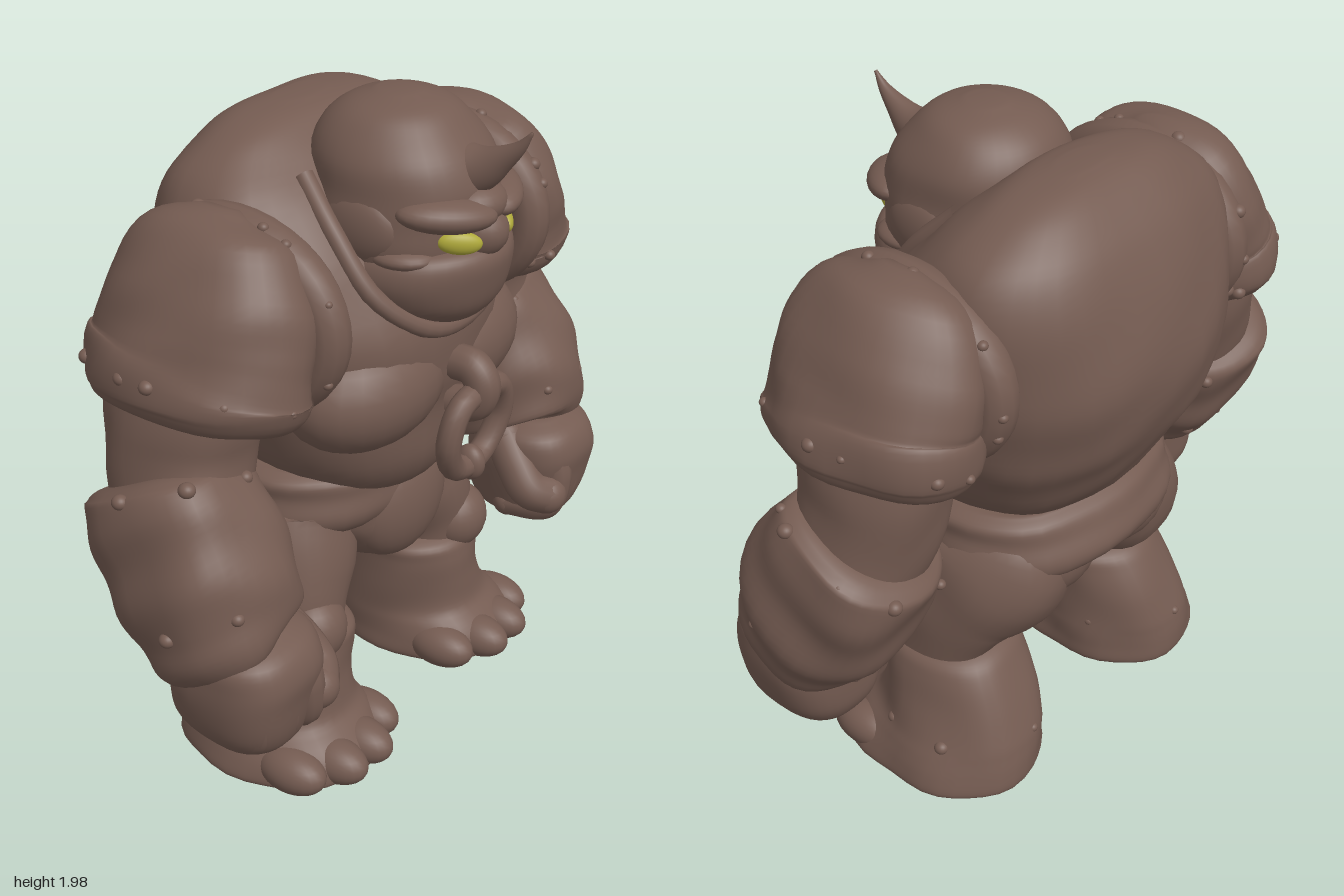
import * as THREE from 'three';

const stone = new THREE.MeshStandardMaterial({ color: 0x745b51 });
stone.name = 'brown stone';
const glow = new THREE.MeshStandardMaterial({ color: 0xaea83a });
glow.name = 'yellow eye';

// Seeded random numbers for the rocky nodules
let seed = 7;
const rand = () => (seed = (seed * 16807) % 2147483647) / 2147483647;

function add(group, name, geometry, material = stone) {
  const mesh = new THREE.Mesh(geometry, material);
  mesh.name = name;
  group.add(mesh);
  return mesh;
}

function ball(group, name, [x, y, z], [rx, ry, rz], material) {
  const mesh = add(group, name, new THREE.SphereGeometry(1, 24, 16), material);
  mesh.position.set(x, y, z);
  mesh.scale.set(rx, ry, rz);
  return mesh;
}

// Smooth closed skin through sections [x, y, z, halfWidth, halfDepth]
function loft(sections, { flat = false, power = 2.3, lump = 0.006 } = {}) {
  const N = 36, steps = (sections.length - 1) * 5;
  const spine = new THREE.CatmullRomCurve3(sections.map(s => new THREE.Vector3(s[0], s[1], s[2])), false, 'catmullrom');
  const size = new THREE.CatmullRomCurve3(sections.map(s => new THREE.Vector3(s[3], s[4], 0)), false, 'catmullrom');
  const pos = [], index = [];
  const bend = (v, e) => Math.sign(v) * Math.abs(v) ** (2 / e);
  for (let i = 0; i <= steps; i++) {
    const c = spine.getPoint(i / steps), r = size.getPoint(i / steps);
    const t = flat ? new THREE.Vector3(0, 1, 0) : spine.getTangent(i / steps);
    const u = new THREE.Vector3(1, 0, 0).addScaledVector(t, -t.x).normalize();
    const w = u.clone().cross(t);
    for (let j = 0; j < N; j++) {
      const a = j / N * Math.PI * 2;
      const p = c.clone()
        .addScaledVector(u, bend(Math.cos(a), power) * Math.max(r.x, 0.005))
        .addScaledVector(w, bend(Math.sin(a), power) * Math.max(r.y, 0.005));
      const k = lump * Math.sin(p.x * 17 + p.y * 9) * Math.sin(p.y * 14 - p.z * 19 + 1);
      pos.push(p.x + u.x * Math.cos(a) * k, p.y, p.z + w.z * Math.sin(a) * k);
      if (i < steps) {
        const A = i * N + j, B = i * N + (j + 1) % N;
        index.push(A, A + N, B, B, A + N, B + N);
      }
    }
  }
  const first = spine.getPoint(0), last = spine.getPoint(1), n = pos.length / 3;
  pos.push(first.x, first.y, first.z, last.x, last.y, last.z);
  for (let j = 0; j < N; j++) {
    const k = (j + 1) % N, top = steps * N;
    index.push(n, j, k, n + 1, top + k, top + j);
  }
  const g = new THREE.BufferGeometry();
  g.setAttribute('position', new THREE.Float32BufferAttribute(pos, 3));
  g.setIndex(index);
  g.computeVertexNormals();
  return g;
}

// Level sections [y, back z, front z, halfWidth, centre x]
const stack = (rows, options) => loft(
  rows.map(([y, b, f, w, x = 0]) => [x, y, (b + f) / 2, w, (f - b) / 2]), { flat: true, ...options });

const tube = (points, radius, closed = false) => new THREE.TubeGeometry(
  new THREE.CatmullRomCurve3(points.map(p => new THREE.Vector3(...p)), closed), 36, radius, 12, closed);

// Small lumps half sunk round an ellipse with axes u and v
function nodules(group, name, count, c, u, v) {
  for (let i = 0; i < count; i++) {
    const a = (i + rand() * 0.8) / count * Math.PI * 2, r = 0.012 + rand() * 0.012;
    ball(group, name, c.map((k, m) => k + u[m] * Math.cos(a) + v[m] * Math.sin(a)), [r, r * 0.9, r]);
  }
}

// A finger: tube with rounded ends
function digit(group, name, points, r) {
  add(group, name, tube(points, r));
  for (const p of [points[0], points[points.length - 1]]) ball(group, name + 'Tip', p, [r, r, r]);
}

function buildBody(g) {
  add(g, 'torso', stack([
    [0.78, -0.18, 0.16, 0.12], [0.85, -0.26, 0.24, 0.26], [0.95, -0.36, 0.29, 0.37], [1.1, -0.45, 0.31, 0.45],
    [1.22, -0.505, 0.335, 0.485], [1.4, -0.54, 0.33, 0.515], [1.6, -0.505, 0.21, 0.52], [1.75, -0.445, 0.07, 0.47],
    [1.84, -0.375, -0.03, 0.36], [1.89, -0.31, -0.09, 0.24], [1.91, -0.25, -0.16, 0.08]], { power: 2.4 }));
  add(g, 'pelvis', stack([
    [0.54, -0.06, 0.12, 0.07], [0.58, -0.16, 0.19, 0.15], [0.66, -0.28, 0.22, 0.24], [0.74, -0.36, 0.22, 0.33],
    [0.84, -0.37, 0.22, 0.37], [0.94, -0.28, 0.18, 0.33]]));
  add(g, 'waistRoll', stack([
    [0.7, -0.33, 0.15, 0.33], [0.74, -0.39, 0.2, 0.4], [0.79, -0.41, 0.225, 0.42], [0.85, -0.39, 0.22, 0.405],
    [0.9, -0.37, 0.21, 0.405], [0.93, -0.33, 0.16, 0.36]]));
  ball(g, 'loinFlap', [0, 0.74, 0.13], [0.2, 0.2, 0.12]);
  for (const s of [1, -1]) ball(g, 'chestMuscle', [s * 0.19, 1.2, 0.15], [0.285, 0.19, 0.205]);
  // Raised collar round the face opening
  add(g, 'collar', tube([[-0.25, 1.78, 0.0], [-0.285, 1.66, 0.12], [-0.27, 1.5, 0.24], [-0.15, 1.39, 0.325], [0, 1.36, 0.34],
    [0.15, 1.39, 0.325], [0.27, 1.5, 0.24], [0.285, 1.66, 0.12], [0.25, 1.78, 0.0]], 0.028));
  // Chest ring hanging from a clasp
  add(g, 'chestRing', tube([[0, 1.16, 0.41], [0.1, 1.14, 0.41], [0.135, 1.04, 0.4], [0.08, 0.94, 0.385], [0, 0.92, 0.385],
    [-0.08, 0.94, 0.385], [-0.135, 1.04, 0.4], [-0.1, 1.14, 0.41]], 0.036, true));
  ball(g, 'ringDrop', [0, 0.925, 0.39], [0.035, 0.055, 0.045]);
  add(g, 'ringClasp', tube([[0, 1.23, 0.33], [0, 1.225, 0.39], [0, 1.18, 0.42], [0, 1.12, 0.4], [0, 1.1, 0.33]], 0.052));
}

function buildHead(g) {
  add(g, 'skull', stack([
    [1.42, 0.08, 0.34, 0.12], [1.5, 0, 0.38, 0.21], [1.6, -0.06, 0.4, 0.255], [1.68, -0.09, 0.405, 0.26],
    [1.75, -0.1, 0.415, 0.25], [1.83, -0.1, 0.385, 0.24], [1.9, -0.07, 0.33, 0.2], [1.95, -0.01, 0.27, 0.145],
    [1.98, 0.07, 0.18, 0.05]], { power: 2.1, lump: 0.003 }));
  add(g, 'jaw', stack([
    [1.37, 0.12, 0.34, 0.08], [1.39, 0.05, 0.39, 0.15], [1.44, 0, 0.43, 0.22], [1.51, -0.04, 0.45, 0.26],
    [1.57, -0.04, 0.455, 0.255], [1.605, 0, 0.43, 0.22], [1.615, 0.05, 0.37, 0.15]], { power: 2.1, lump: 0.003 }));
  // Wedge-shaped face: brows and eyes slope back from the bridge
  ball(g, 'noseBridge', [0, 1.64, 0.36], [0.088, 0.085, 0.115]);
  ball(g, 'browBridge', [0, 1.715, 0.375], [0.1, 0.06, 0.085]);
  for (const s of [1, -1]) {
    ball(g, 'brow', [s * 0.12, 1.712, 0.365], [0.14, 0.047, 0.075]).rotation.set(0, s * 0.68, s * 0.1);
    ball(g, 'temple', [s * 0.22, 1.665, 0.16], [0.05, 0.1, 0.12]);
    ball(g, 'cheek', [s * 0.17, 1.595, 0.26], [0.085, 0.035, 0.1]);
    ball(g, 'eye', [s * 0.108, 1.638, 0.4], [0.062, 0.032, 0.024], glow).rotation.set(0, s * 0.82, s * 0.1);
  }
  // Curved horn rising from the forehead
  add(g, 'horn', loft([[0, 1.79, 0.33, 0.08, 0.085], [0, 1.815, 0.4, 0.054, 0.06], [0, 1.85, 0.455, 0.034, 0.036],
    [0, 1.89, 0.505, 0.018, 0.018], [0, 1.935, 0.54, 0.004, 0.004]], { power: 2, lump: 0 }));
}

function buildArm(g, s) {
  const limb = (name, rows, options) => add(g, name, loft(rows.map(([x, ...r]) => [s * x, ...r]), options));
  // Domed plate ending in a flared skirt
  limb('shoulderPlate', [[0.525, 1.77, -0.06, 0.03, 0.06], [0.545, 1.71, -0.06, 0.135, 0.22], [0.585, 1.58, -0.05, 0.19, 0.3],
    [0.62, 1.47, -0.045, 0.205, 0.325], [0.64, 1.41, -0.045, 0.212, 0.325], [0.655, 1.36, -0.05, 0.225, 0.34],
    [0.662, 1.31, -0.05, 0.218, 0.33], [0.67, 1.265, -0.05, 0.19, 0.29], [0.675, 1.245, -0.05, 0.13, 0.2]],
    { power: 2, lump: 0.008 });
  nodules(g, 'skirtNodule', 9, [s * 0.655, 1.335, -0.05], [s * 0.21, 0.07, 0], [0, 0, 0.33]);
  // Raised inner band of the shoulder
  const band = add(g, 'shoulderBand', new THREE.TorusGeometry(1, 0.2, 12, 40));
  band.position.set(s * 0.495, 1.475, -0.04);
  band.rotation.set(0, Math.PI / 2, 0);
  band.scale.set(0.3, 0.245, 0.32);
  nodules(g, 'bandNodule', 11, [s * 0.52, 1.475, -0.04], [0, 0.285, 0], [0, 0, 0.345]);
  limb('upperArm', [[0.62, 1.5, -0.07, 0.16, 0.2], [0.665, 1.28, -0.08, 0.185, 0.21], [0.69, 1.14, -0.08, 0.18, 0.2],
    [0.73, 0.98, -0.05, 0.17, 0.19]]);
  limb('forearmGuard', [[0.735, 1.07, -0.1, 0.13, 0.15], [0.74, 1.05, -0.09, 0.2, 0.215], [0.75, 1, -0.065, 0.21, 0.235],
    [0.758, 0.9, -0.01, 0.212, 0.25], [0.763, 0.8, 0.04, 0.222, 0.25], [0.76, 0.72, 0.08, 0.213, 0.23],
    [0.755, 0.65, 0.115, 0.2, 0.2], [0.745, 0.62, 0.13, 0.12, 0.14]], { power: 2.5, lump: 0.012 });
  nodules(g, 'cuffNodule', 8, [s * 0.74, 1.03, -0.08], [s * 0.2, 0.06, 0], [0, 0.1, 0.21]);
  nodules(g, 'wristNodule', 7, [s * 0.76, 0.74, 0.07], [s * 0.212, 0, 0], [0, 0.1, 0.21]);
  // Clenched fist
  add(g, 'fist', stack([
    [0.345, 0.03, 0.25, 0.09, 0.74], [0.37, 0, 0.3, 0.13, 0.74], [0.43, -0.03, 0.33, 0.16, 0.75], [0.52, -0.035, 0.35, 0.18, 0.75],
    [0.6, -0.03, 0.36, 0.185, 0.745], [0.67, 0, 0.33, 0.17, 0.745], [0.71, 0.05, 0.26, 0.1, 0.745]]
    .map(([y, b, f, w, x]) => [y, b, f, w, s * x]), { power: 2.5, lump: 0.004 }));
  [0.67, 0.755, 0.84].forEach((x, i) => digit(g, 'finger',
    [[s * x, 0.6, 0.29 - i * 0.01], [s * x, 0.52, 0.305 - i * 0.015], [s * (x - 0.015), 0.42, 0.28 - i * 0.015],
      [s * (x - 0.03), 0.395, 0.15]], 0.052));
  digit(g, 'thumb', [[s * 0.61, 0.65, 0.14], [s * 0.58, 0.57, 0.21], [s * 0.575, 0.51, 0.26], [s * 0.62, 0.48, 0.3]], 0.066);
}

function buildLeg(g, s) {
  add(g, 'thigh', loft([[0.21, 0.8, -0.1, 0.17, 0.22], [0.255, 0.7, -0.1, 0.2, 0.25], [0.315, 0.57, -0.04, 0.175, 0.21],
    [0.345, 0.46, -0.01, 0.145, 0.17], [0.35, 0.36, 0, 0.14, 0.15]].map(([x, ...r]) => [s * x, ...r])));
  ball(g, 'buttock', [s * 0.16, 0.75, -0.19], [0.2, 0.17, 0.18]);
  ball(g, 'knee', [s * 0.38, 0.455, 0.105], [0.108, 0.108, 0.1]);
  add(g, 'shin', stack([
    [0.01, -0.32, 0.27, 0.235, 0.385], [0.03, -0.34, 0.3, 0.252, 0.385], [0.08, -0.34, 0.29, 0.243, 0.38],
    [0.13, -0.335, 0.25, 0.23, 0.37], [0.18, -0.325, 0.2, 0.215, 0.36], [0.27, -0.29, 0.18, 0.2, 0.345],
    [0.36, -0.24, 0.178, 0.188, 0.335], [0.41, -0.2, 0.165, 0.172, 0.325], [0.44, -0.14, 0.1, 0.1, 0.325]]
    .map(([y, b, f, w, x]) => [y, b, f, w, s * x]), { power: 2.2, lump: 0.008 }));
  [[0.21, 0.17], [0.325, 0.23], [0.445, 0.225], [0.555, 0.155]].forEach(([x, z]) =>
    ball(g, 'toe', [s * x, 0.07, z], [0.072, 0.068, 0.118]));
  nodules(g, 'ankleNodule', 6, [s * 0.365, 0.17, -0.07], [s * 0.205, 0, 0], [0, 0, 0.25]);
}

export function createModel() {
  const model = new THREE.Group();
  model.name = 'stoneGiant';
  const part = (name, build, ...args) => {
    const g = new THREE.Group();
    g.name = name;
    build(g, ...args);
    model.add(g);
  };
  part('body', buildBody);
  part('head', buildHead);
  for (const [side, s] of [['left', 1], ['right', -1]]) {
    part(side + 'Arm', buildArm, s);
    part(side + 'Leg', buildLeg, s);
  }
  return model;
}
